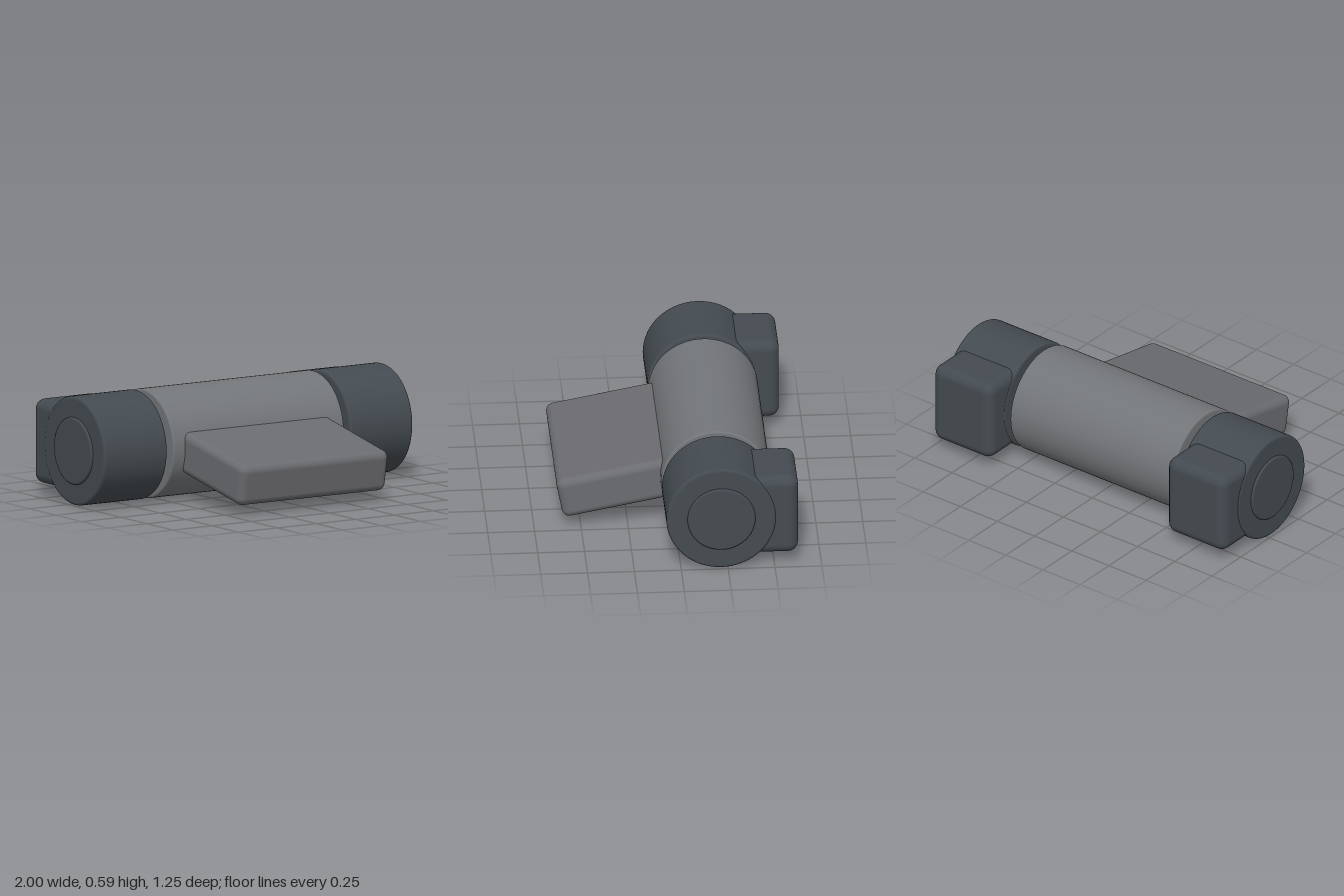
import * as THREE from 'three';
import { RoundedBoxGeometry } from 'three/addons/geometries/RoundedBoxGeometry.js';

const AXIS_Y = 0.295, AXIS_Z = -0.215;

// Cylinder lying along x from x0 to x1 with rounded rims
function rimmedCylinder(radius, x0, x1, bevel) {
  const e = 0.002, steps = 4;
  const pts = [new THREE.Vector2(0, x0), new THREE.Vector2(radius - bevel - e, x0)];
  for (let i = 0; i <= steps; i++) {
    const a = (i / steps) * Math.PI / 2;
    pts.push(new THREE.Vector2(radius - bevel + bevel * Math.sin(a), x0 + bevel - bevel * Math.cos(a)));
  }
  pts.push(new THREE.Vector2(radius, x0 + bevel + e), new THREE.Vector2(radius, x1 - bevel - e));
  for (let i = 0; i <= steps; i++) {
    const a = (i / steps) * Math.PI / 2;
    pts.push(new THREE.Vector2(radius - bevel + bevel * Math.cos(a), x1 - bevel + bevel * Math.sin(a)));
  }
  pts.push(new THREE.Vector2(radius - bevel - e, x1), new THREE.Vector2(0, x1));
  return new THREE.LatheGeometry(pts, 72).rotateZ(-Math.PI / 2).translate(0, AXIS_Y, AXIS_Z);
}

export function createModel() {
  const model = new THREE.Group();
  model.name = 'hinge';
  const mat = (name, color) => new THREE.MeshStandardMaterial({ name, color });
  const dark = mat('dark slate', 0x444b50);
  const grey = mat('barrel grey', 0x737679);
  const plateGrey = mat('plate grey', 0x6b6c70);

  const add = (name, geometry, material) => {
    const mesh = new THREE.Mesh(geometry, material);
    mesh.name = name;
    model.add(mesh);
    return mesh;
  };

  // Central barrel and the pin running through everything
  add('barrel', rimmedCylinder(0.293, -0.547, 0.547, 0.01), grey);
  add('pin', rimmedCylinder(0.181, -1, 1, 0.01), dark);

  // End collars with mounting blocks behind them
  for (const [side, s] of [['left', 1], ['right', -1]]) {
    const a = s * 0.585, b = s * 0.988;
    add(side + 'Collar', rimmedCylinder(0.293, Math.min(a, b), Math.max(a, b), 0.014), dark);
    const block = add(side + 'MountBlock', new RoundedBoxGeometry(0.395, 0.455, 0.4, 5, 0.055), dark);
    block.position.set(s * 0.786, 0.296, -0.426);
  }

  // Sloping leaf plate, its rear end buried in the barrel
  const tilt = 0.19, length = 0.75;
  const plate = add('leafPlate', new RoundedBoxGeometry(0.946, 0.226, length, 5, 0.042), plateGrey);
  plate.rotation.x = tilt;
  plate.position.set(0, 0.163 + Math.sin(tilt) * length / 2, 0.614 - Math.cos(tilt) * length / 2);

  return model;
}
